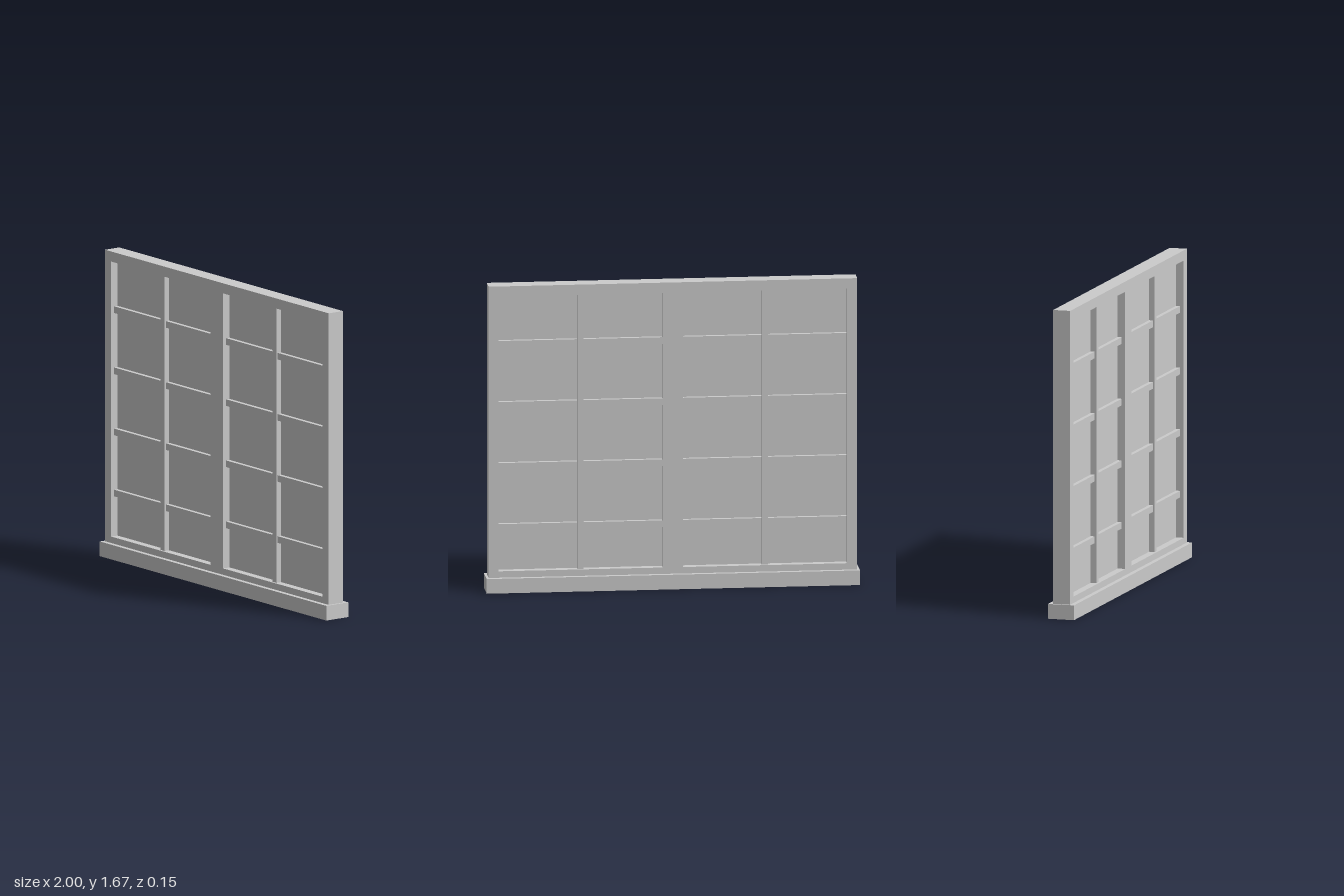
import * as THREE from 'three';

const material = new THREE.MeshStandardMaterial({ color: 0xcccccc, flatShading: true });

export function createModel() {
  const group = new THREE.Group();

  function box(name, width, height, depth, x, y) {
    const mesh = new THREE.Mesh(new THREE.BoxGeometry(width, height, depth), material);
    mesh.name = name;
    mesh.position.set(x, y, 0);
    group.add(mesh);
  }

  const sillTop = 0.08, frameTop = 1.67, halfWidth = 0.987;
  const bottom = 0.115, top = 1.615; // opening heights
  const inner = 0.055, outer = 0.933; // opening sides
  const frameDepth = 0.095;

  // Sill
  box('sill', 2, sillTop, 0.146, 0, sillTop / 2);

  // Outer frame and centre post, cut from one board with two openings
  const board = new THREE.Shape();
  const trace = (path, x0, y0, x1, y1) =>
    path.moveTo(x0, y0).lineTo(x1, y0).lineTo(x1, y1).lineTo(x0, y1).closePath();
  trace(board, -halfWidth, sillTop, halfWidth, frameTop);
  for (const [x0, x1] of [[-outer, -inner], [inner, outer]]) {
    const hole = new THREE.Path();
    trace(hole, x0, bottom, x1, top);
    board.holes.push(hole);
  }
  const frameGeometry = new THREE.ExtrudeGeometry(board, { depth: frameDepth, bevelEnabled: false });
  frameGeometry.translate(0, 0, -frameDepth / 2);
  const frame = new THREE.Mesh(frameGeometry, material);
  frame.name = 'frame';
  group.add(frame);

  // Glass and glazing bars of each window, right then left
  const width = outer - inner, height = top - bottom;
  for (const side of [-1, 1]) {
    const label = side < 0 ? 'right' : 'left';
    const x = side * (inner + outer) / 2;
    box(label + 'Glass', width, height, 0.01, x, (bottom + top) / 2);
    box(label + 'VerticalBar', 0.033, height, 0.073, x, (bottom + top) / 2);
    for (let i = 0; i < 4; i++) {
      box(label + 'HorizontalBar' + (i + 1), width, 0.036, 0.055, x, 0.35 + i * 0.3333);
    }
  }
  return group;
}
